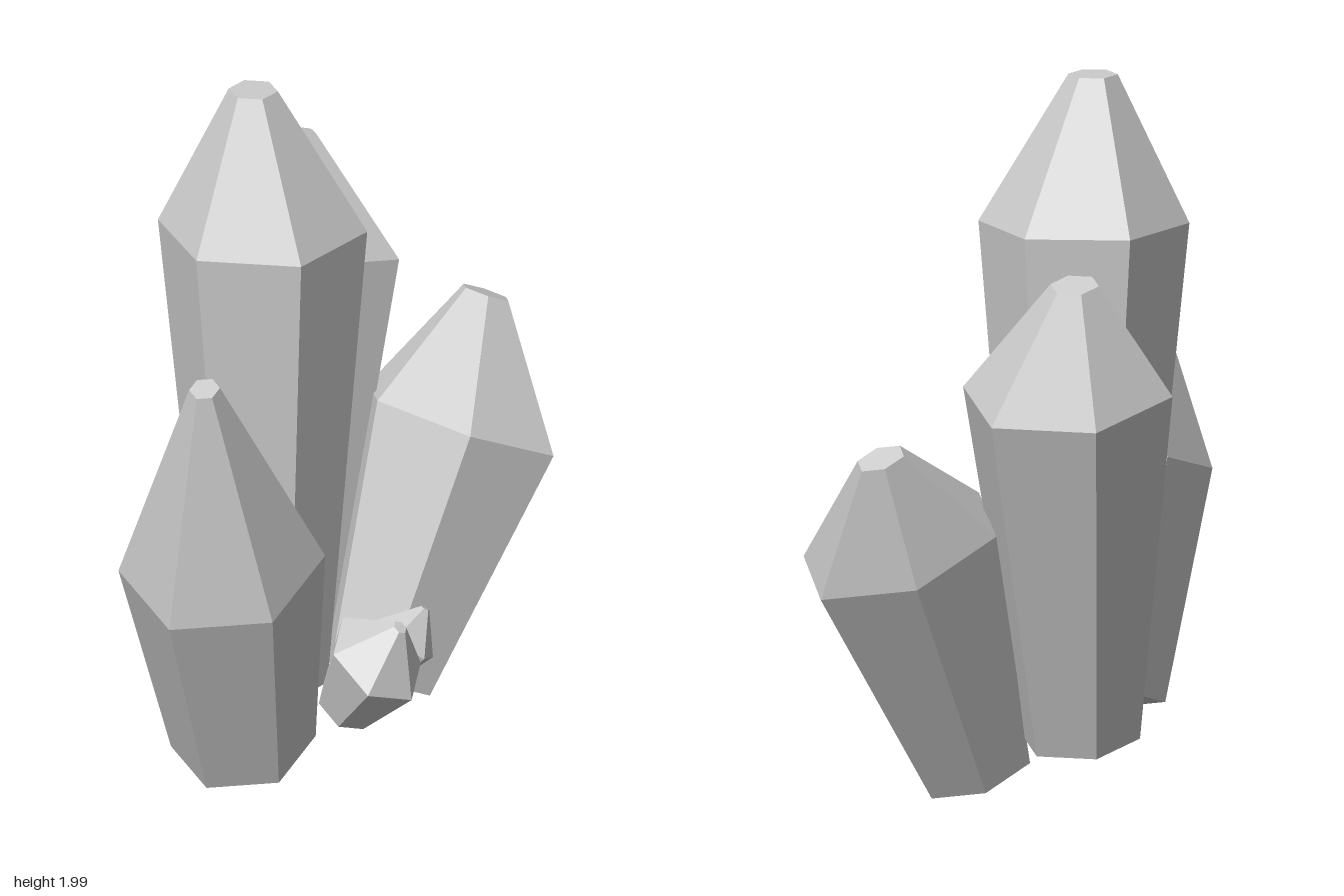
import * as THREE from 'three';

const material = new THREE.MeshStandardMaterial({ color: 0xcccccc, flatShading: true, roughness: 0.6 });

// Each crystal: centres of the base, shoulder and tip rings, two neighbouring
// corner directions (a, b) of the shoulder hexagon, and base / tip ring scales.
const crystals = [
  { name: 'centreCrystal', base: [-0.175, 0.18, 0.045], shoulder: [-0.19, 1.58, 0.043], tip: [-0.215, 2, 0.036],
    a: [0.257, 0, 0.145], b: [0, 0, 0.293], baseScale: 0.57, tipScale: 0.235 },
  { name: 'backCrystal', base: [-0.02, 0.19, -0.28], shoulder: [0.125, 1.224, -0.496], tip: [0.145, 1.545, -0.58],
    a: [0.277, -0.064, -0.08], b: [0.235, 0.002, 0.185], baseScale: 0.57, tipScale: 0.23 },
  { name: 'frontRightCrystal', base: [-0.365, 0.15, 0.34], shoulder: [-0.487, 0.783, 0.485], tip: [-0.61, 1.42, 0.665],
    a: [0.27, 0.021, 0.102], b: [0.04, -0.066, 0.285], baseScale: 0.7, tipScale: 0.15 },
  { name: 'leftCrystal', base: [0.2, 0.077, -0.068], shoulder: [0.497, 0.76, -0.19], tip: [0.64, 1.055, -0.36],
    a: [0.265, -0.122, -0.038], b: [0.193, -0.05, 0.217], baseScale: 0.56, tipScale: 0.24 },
  { name: 'smallFrontCrystal', base: [-0.05, 0.19, 0.305], shoulder: [0.005, 0.375, 0.42], tip: [0.047, 0.495, 0.49],
    a: [0.135, -0.04, -0.01], b: [0.06, -0.09, 0.11], baseScale: 0.57, tipScale: 0.14 },
  { name: 'smallLeftCrystal', base: [0.08, 0.19, 0.165], shoulder: [0.17, 0.3, 0.18], tip: [0.24, 0.39, 0.19],
    a: [0.09, -0.06, 0.019], b: [0.031, -0.02, 0.103], baseScale: 0.57, tipScale: 0.13 },
];

// Six corners of a hexagon around a centre
function hexRing(centre, a, b, scale) {
  const u = new THREE.Vector3(...a);
  const v = new THREE.Vector3(...b);
  const w = v.clone().sub(u);
  const half = [u, v, w];
  return [...half, ...half.map((p) => p.clone().negate())]
    .map((p) => p.clone().multiplyScalar(scale).add(new THREE.Vector3(...centre)));
}

function crystalGeometry({ base, shoulder, tip, a, b, baseScale, tipScale }) {
  const rings = [hexRing(base, a, b, baseScale), hexRing(shoulder, a, b, 1), hexRing(tip, a, b, tipScale)];
  const points = [];

  // Shaft and pointed crown
  for (let r = 0; r < 2; r++) {
    for (let i = 0; i < 6; i++) {
      const j = (i + 1) % 6;
      const [low, high] = [rings[r], rings[r + 1]];
      points.push(low[j], low[i], high[i], low[j], high[i], high[j]);
    }
  }
  // Flat base and tip
  for (let i = 1; i < 5; i++) {
    points.push(rings[0][0], rings[0][i], rings[0][i + 1]);
    points.push(rings[2][0], rings[2][i + 1], rings[2][i]);
  }

  const geometry = new THREE.BufferGeometry().setFromPoints(points);
  geometry.computeVertexNormals();
  return geometry;
}

export function createModel() {
  const group = new THREE.Group();
  group.name = 'crystalCluster';
  for (const crystal of crystals) {
    const mesh = new THREE.Mesh(crystalGeometry(crystal), material);
    mesh.name = crystal.name;
    group.add(mesh);
  }
  return group;
}
